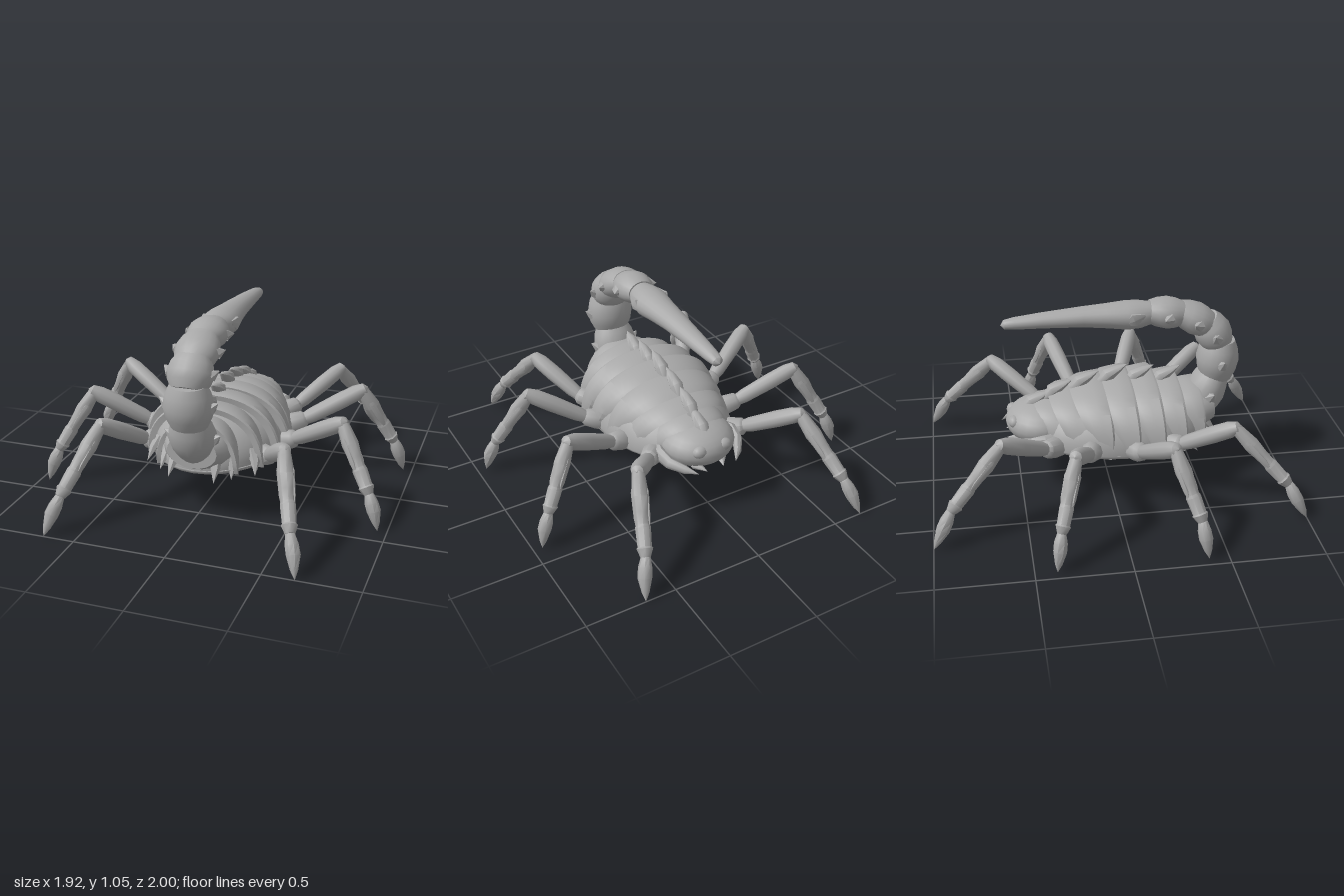
import * as THREE from 'three';
import { toCreasedNormals } from 'three/addons/utils/BufferGeometryUtils.js';

const V = (x, y, z) => new THREE.Vector3(x, y, z);
const shell = new THREE.MeshStandardMaterial({ color: 0xa8a8a8, side: THREE.DoubleSide });
shell.name = 'grey shell';

// Smooth grid surface from a rule f(u, v) -> Vector3
function surface(nu, nv, f, crease = 0.7) {
  const pos = [], index = [];
  for (let i = 0; i <= nu; i++)
    for (let j = 0; j <= nv; j++) pos.push(...f(i / nu, j / nv, i, j).toArray());
  for (let i = 0; i < nu; i++)
    for (let j = 0; j < nv; j++) {
      const a = i * (nv + 1) + j, b = a + nv + 1;
      index.push(a, a + 1, b + 1, a, b + 1, b);
    }
  const g = new THREE.BufferGeometry();
  g.setAttribute('position', new THREE.Float32BufferAttribute(pos, 3));
  g.setIndex(index);
  return toCreasedNormals(g, crease);
}

// Elliptical sections along a path; rings are [point, side radius, other radius]
function loft(rings, sides = 10, fixedSide = null, crease = 0.8) {
  const frames = rings.map((r, i) => {
    const t = rings[Math.min(i + 1, rings.length - 1)][0].clone()
      .sub(rings[Math.max(i - 1, 0)][0]).normalize();
    const u = fixedSide ? fixedSide.clone() : t.clone().cross(V(0, 1, 0)).normalize();
    return { u, v: t.clone().cross(u) };
  });
  return surface(rings.length - 1, sides, (s, w, i, j) => {
    const a = ((j % sides) / sides) * Math.PI * 2;
    const [c, ru, rv = ru] = rings[i];
    return c.clone().addScaledVector(frames[i].u, ru * Math.cos(a)).addScaledVector(frames[i].v, rv * Math.sin(a));
  }, crease);
}

// Straight limb from a to b; profile holds [fraction, radius, other radius]
function limb(a, b, profile, sides, fixedSide) {
  return loft(profile.map(([t, r, r2]) => [a.clone().lerp(b, t), r, r2]), sides, fixedSide);
}

export function createModel() {
  const model = new THREE.Group();
  const add = (name, geo, parent = model) => {
    const m = new THREE.Mesh(geo, shell);
    m.name = name;
    parent.add(m);
    return m;
  };
  const X = V(1, 0, 0);

  // Belly bowl and inner body
  const belly = add('belly', new THREE.SphereGeometry(1, 32, 10, 0, Math.PI * 2, Math.PI / 2, Math.PI / 2));
  belly.scale.set(0.38, 0.085, 0.53);
  belly.position.set(0, 0.295, 0.07);
  const core = add('innerBody', new THREE.SphereGeometry(1, 32, 16, 0, Math.PI * 2, 0, Math.PI / 2));
  core.scale.set(0.37, 0.27, 0.52);
  core.position.set(0, 0.29, 0.06);

  // Overlapping back plates: front z, back z, half width, top height
  const plates = [
    [-0.42, -0.27, 0.25, 0.50], [-0.33, -0.15, 0.32, 0.545], [-0.21, -0.01, 0.365, 0.58],
    [-0.07, 0.13, 0.40, 0.60], [0.08, 0.27, 0.385, 0.60], [0.21, 0.40, 0.33, 0.58], [0.34, 0.52, 0.23, 0.54],
  ];
  const across = [[0, 0.88], [0.25, 0.95], [0.6, 0.98], [0.92, 1], [1, 0.98], [0.97, 0.88]];
  const soft = (c) => Math.sign(c) * Math.pow(Math.abs(c), 0.85);
  for (const [zf, zb, w, top] of plates) {
    add('backPlate', surface(28, across.length - 1, (u, v, i, j) => {
      const a = u * Math.PI, s = Math.sin(a), [f, k] = across[j];
      const width = (zb - zf) * (0.2 + 0.8 * Math.pow(Math.max(s, 0), 0.6));
      const mid = (zf + zb) / 2 + 0.07 * (1 - s);
      return V(w * k * soft(Math.cos(a)), 0.27 + (top - 0.27) * k * soft(Math.max(s, 0)), mid + (f - 0.5) * width);
    }, 0.6));
  }

  // Hooked spines along the back: tip z, tip height
  for (const [z, y] of [[0.42, 0.635], [0.27, 0.65], [0.12, 0.665], [-0.04, 0.635], [-0.19, 0.59], [-0.31, 0.53]]) {
    add('backSpine', loft([
      [V(0, y - 0.11, z - 0.15), 0.03, 0.03], [V(0, y - 0.06, z - 0.11), 0.04, 0.04],
      [V(0, y - 0.025, z - 0.05), 0.028, 0.022], [V(0, y, z), 0, 0],
    ], 8, X));
  }

  // Head
  const head = add('head', new THREE.SphereGeometry(1, 24, 14));
  head.scale.set(0.21, 0.12, 0.2);
  head.position.set(0, 0.36, -0.37);
  for (const s of [-1, 1]) {
    const eye = add('eye', new THREE.SphereGeometry(1, 12, 8));
    eye.scale.set(0.045, 0.035, 0.035);
    eye.position.set(s * 0.075, 0.39, -0.525);
    add('jaw', loft([
      [V(s * 0.19, 0.33, -0.27), 0.03, 0.04], [V(s * 0.225, 0.33, -0.37), 0.035, 0.045],
      [V(s * 0.215, 0.32, -0.45), 0.028, 0.035], [V(s * 0.165, 0.31, -0.53), 0.02, 0.025],
      [V(s * 0.115, 0.3, -0.59), 0, 0],
    ], 8));
    add('fang', loft([
      [V(s * 0.07, 0.3, -0.42), 0.04, 0.03], [V(s * 0.08, 0.29, -0.5), 0.03, 0.025], [V(s * 0.05, 0.28, -0.57), 0, 0],
    ], 8));
    // Small spikes under the rear rim
    for (const [x, z] of [[0.19, 0.5], [0.12, 0.57], [0.29, 0.42]])
      add('rimSpike', loft([
        [V(s * x * 0.9, 0.36, z - 0.04), 0.035, 0.03], [V(s * x, 0.31, z), 0.025, 0.02], [V(s * x * 1.05, 0.25, z + 0.05), 0, 0],
      ], 6));
  }

  // Tail segments: start y, z; end y, z; side radius; other radius
  const tail = new THREE.Group();
  tail.name = 'tail';
  model.add(tail);
  const segments = [
    [0.39, 0.38, 0.40, 0.60, 0.19, 0.125], [0.37, 0.53, 0.59, 0.62, 0.13, 0.11],
    [0.56, 0.625, 0.79, 0.64, 0.135, 0.12], [0.76, 0.645, 0.91, 0.55, 0.125, 0.105],
    [0.875, 0.585, 0.965, 0.405, 0.12, 0.09], [0.955, 0.43, 0.975, 0.235, 0.11, 0.087],
  ];
  const bulge = [[0, 0], [0, 0.72], [0.25, 0.92], [0.5, 1], [0.78, 0.9], [1, 0.72], [1, 0]];
  segments.forEach(([y0, z0, y1, z1, rx, ry], n) => {
    const a = V(0, y0, z0), b = V(0, y1, z1);
    add('tailSegment', limb(a, b, bulge.map(([t, k]) => [t, rx * k, ry * k]), 20, X), tail);
    if (n > 0) for (const s of [-1, 1]) {
      const c = a.clone().lerp(b, 0.5), d = b.clone().sub(a).normalize();
      const root = c.clone().add(V(s * rx * 0.88, 0, 0));
      const tip = c.clone().addScaledVector(d, 0.03).add(V(s * (rx + 0.025), 0, 0));
      add('tailStud', loft([[root, 0.035], [tip, 0]], 6), tail);
    }
  });

  // Long stinger: z, height, half width, half height
  const stinger = [
    [0.25, 0.97, 0, 0], [0.25, 0.97, 0.07, 0.06], [0.18, 0.965, 0.095, 0.075], [0.11, 0.963, 0.1, 0.077],
    [0, 0.965, 0.083, 0.066], [-0.13, 0.967, 0.07, 0.055], [-0.35, 0.96, 0.053, 0.042],
    [-0.5, 0.952, 0.04, 0.033], [-0.555, 0.947, 0.03, 0.026], [-0.575, 0.945, 0, 0],
  ];
  add('stinger', loft(stinger.map(([z, y, a, b]) => [V(0, y, z), a, b]), 20, X), tail);
  for (const s of [-1, 1])
    add('stingerStud', loft([
      [V(s * 0.085, 0.99, 0.2), 0.005, 0.01], [V(s * 0.092, 0.97, 0.14), 0.02, 0.04], [V(s * 0.085, 0.94, 0.08), 0, 0],
    ], 6), tail);

  // Legs: hip, joint, knee, ankle and tip for one side
  const legs = [
    [[0.2, 0.29, -0.27], [0.3, 0.33, -0.37], [0.5, 0.495, -0.62], [0.615, 0.19, -0.9], [0.67, 0, -1]],
    [[0.26, 0.29, -0.1], [0.4, 0.34, -0.15], [0.71, 0.52, -0.255], [0.89, 0.19, -0.355], [0.95, 0, -0.385]],
    [[0.28, 0.29, 0.09], [0.42, 0.34, 0.13], [0.71, 0.52, 0.25], [0.89, 0.19, 0.365], [0.95, 0, 0.395]],
    [[0.25, 0.29, 0.27], [0.35, 0.33, 0.36], [0.5, 0.495, 0.62], [0.615, 0.19, 0.9], [0.67, 0, 1]],
  ];
  for (const s of [-1, 1]) for (const leg of legs) {
    const g = new THREE.Group();
    g.name = s > 0 ? 'leftLeg' : 'rightLeg';
    model.add(g);
    const [hip, joint, knee, ankle, tip] = leg.map(([x, y, z]) => V(s * x, y, z));
    add('hip', limb(hip, joint, [[0, 0.055], [0.5, 0.06], [1, 0.05], [1.15, 0.03], [1.2, 0]], 10), g);
    add('thigh', limb(joint, knee, [[-0.08, 0], [-0.05, 0.03], [0.15, 0.042], [0.6, 0.047], [0.9, 0.045], [1.05, 0.032], [1.1, 0]], 10), g);
    add('shin', limb(knee, ankle, [[-0.05, 0], [-0.03, 0.03], [0.08, 0.036], [0.3, 0.045], [0.48, 0.037],
      [0.62, 0.035], [0.66, 0.04], [0.88, 0.036], [0.9, 0.042], [1, 0.026], [1, 0]], 8), g);
    // Raised ridges on either side of the shin
    const along = ankle.clone().sub(knee).normalize();
    const out = along.clone().cross(V(0, 1, 0)).normalize();
    for (const k of [-1, 1]) {
      const shift = out.clone().multiplyScalar(k * 0.032);
      add('shinRidge', limb(knee.clone().add(shift), ankle.clone().add(shift),
        [[0.12, 0], [0.25, 0.014, 0.02], [0.55, 0.01, 0.018], [0.72, 0]], 6), g);
    }
    // Bulbous claw foot bending down to a point
    const mid = ankle.clone().lerp(tip, 0.45).add(V(s * 0.006, 0, 0));
    add('foot', loft([[ankle.clone().lerp(knee, 0.05), 0], [ankle, 0.025], [ankle.clone().lerp(mid, 0.5), 0.036],
      [mid, 0.037], [mid.clone().lerp(tip, 0.6), 0.02], [tip, 0]], 8), g);
  }
  return model;
}
